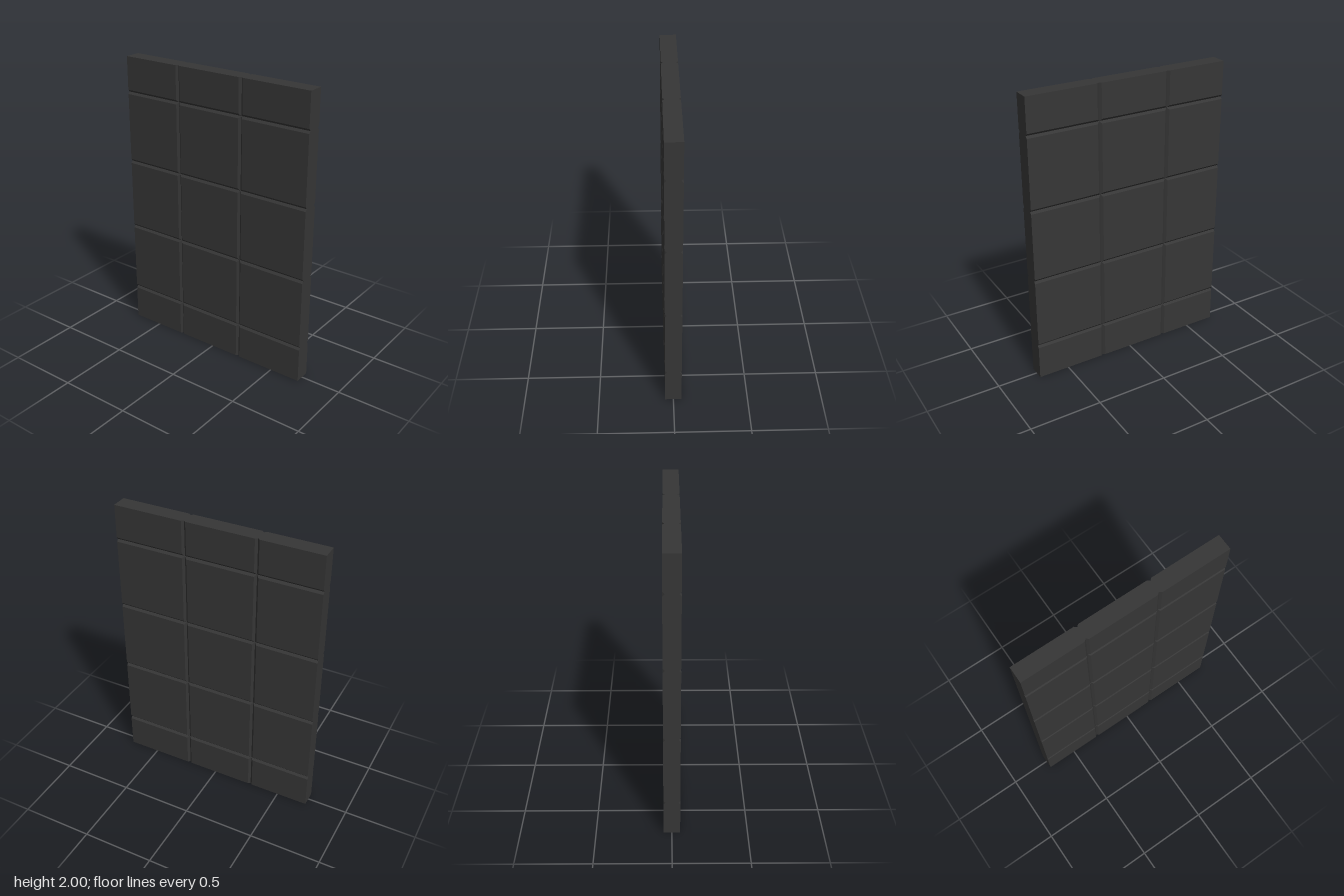
import * as THREE from 'three';

const HALF_THICK = 0.055; // half thickness of the slab
const BEVEL = 0.015;      // half width of a groove
const DEPTH = 0.013;      // depth of a groove
const columns = [-0.717, -0.281, 0.219, 0.717];
const rows = [0, 0.254, 0.754, 1.254, 1.754, 2];

// A block whose front and back edges are chamfered only where it meets a neighbour
function blockGeometry(x0, x1, y0, y1, inset) {
  const geo = new THREE.BoxGeometry(1, 1, 1, 1, 1, 3).toNonIndexed();
  const p = geo.attributes.position;
  for (let i = 0; i < p.count; i++) {
    const outer = Math.abs(p.getZ(i)) > 0.4;
    const cut = outer ? BEVEL : 0;
    const x = p.getX(i) < 0 ? x0 + cut * inset.left : x1 - cut * inset.right;
    const y = p.getY(i) < 0 ? y0 + cut * inset.bottom : y1 - cut * inset.top;
    const z = Math.sign(p.getZ(i)) * (outer ? HALF_THICK : HALF_THICK - DEPTH);
    p.setXYZ(i, x, y, z);
  }
  geo.computeVertexNormals();
  return geo;
}

export function createModel() {
  const group = new THREE.Group();
  group.name = 'tiledPanel';
  const material = new THREE.MeshStandardMaterial({ color: 0x363636 });

  // Grid of blocks; the chamfers of neighbours meet in V grooves
  const lastCol = columns.length - 2, lastRow = rows.length - 2;
  for (let r = 0; r <= lastRow; r++) {
    for (let c = 0; c <= lastCol; c++) {
      const inset = {
        left: c > 0 ? 1 : 0,
        right: c < lastCol ? 1 : 0,
        bottom: r > 0 ? 1 : 0,
        top: r < lastRow ? 1 : 0,
      };
      const geo = blockGeometry(columns[c], columns[c + 1], rows[r], rows[r + 1], inset);
      const block = new THREE.Mesh(geo, material);
      block.name = `panelBlockRow${r + 1}Column${c + 1}`;
      group.add(block);
    }
  }
  return group;
}
